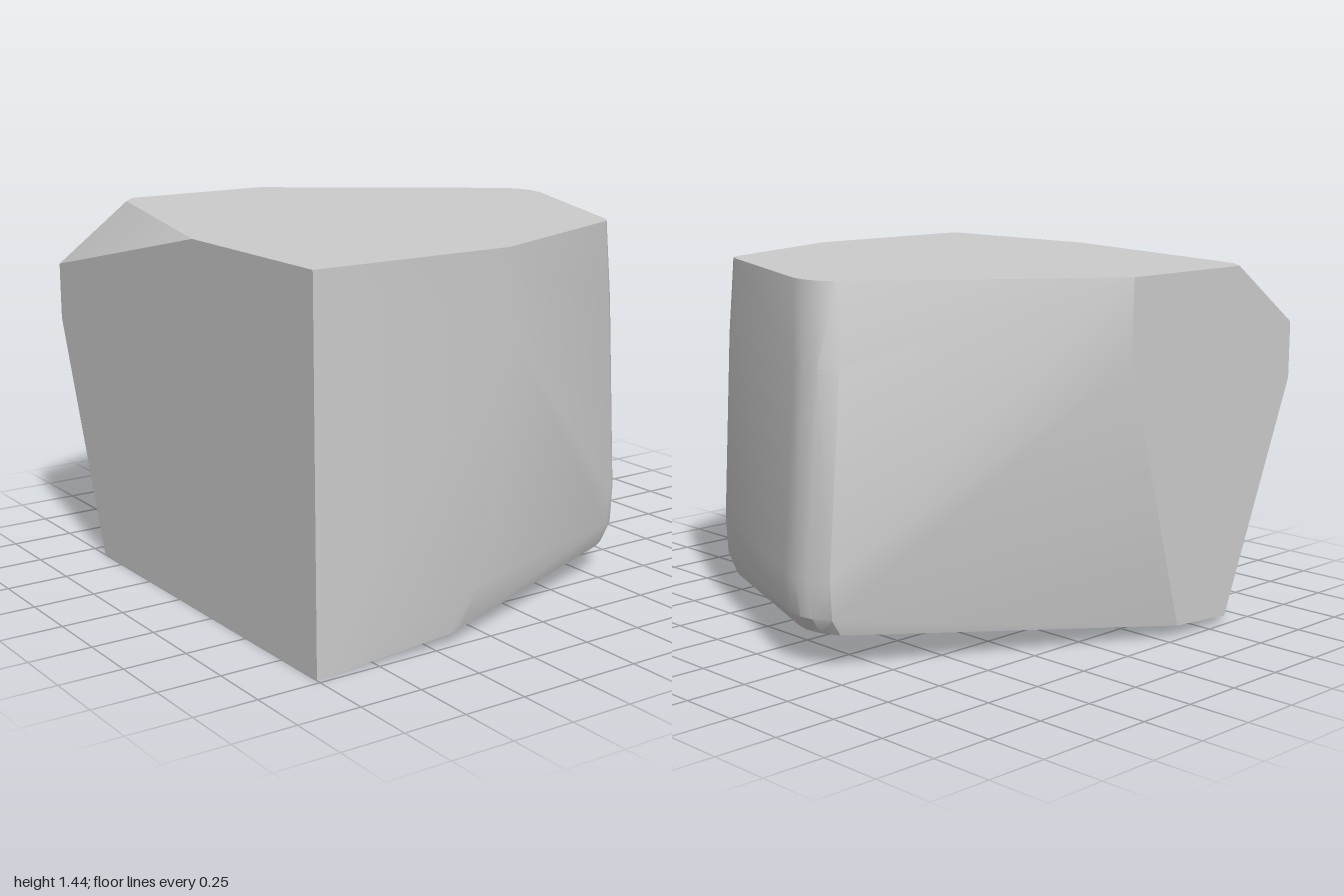
import * as THREE from 'three';
import { ConvexGeometry } from 'three/addons/geometries/ConvexGeometry.js';
import { toCreasedNormals } from 'three/addons/utils/BufferGeometryUtils.js';

// Outline rings of the rock, each a list of [x, z] at one height.
const rings = [
  // flat top
  { y: 1.44, outline: [[-1, 0.98], [-0.17, 0.98], [0.53, 0.7], [0.56, 0.675], [0.585, 0.63], [0.89, -0.12], [0.905, -0.2], [0.895, -0.27], [0.86, -0.33], [-0.02, -0.98], [-0.65, -0.98], [-0.72, -0.9], [-1, 0.17]] },
  // shoulder, where the side facets change slope
  { y: 1.13, outline: [[-0.16, 0.98], [0.55, 0.71], [0.585, 0.68], [0.61, 0.63], [0.94, -0.18], [0.955, -0.25], [0.945, -0.32], [0.9, -0.39], [-0.01, -0.98]] },
  // widest part
  { y: 0.35, outline: [[-0.27, 0.98], [0.585, 0.71], [0.62, 0.69], [0.65, 0.63], [0.98, -0.15], [1, -0.24], [0.99, -0.3], [0.95, -0.38], [-0.25, -0.98]] },
  // start of the rounded lower edge
  { y: 0.2, outline: [[-0.3, 0.98], [0.57, 0.71], [0.61, 0.69], [0.64, 0.62], [0.975, -0.17], [0.985, -0.25], [0.975, -0.31], [0.94, -0.38], [-0.29, -0.98]] },
];
// Sloping underside
const underside = [[-1, 0.98], [-0.42, 0.98], [-0.36, 0.965], [0.54, 0.69], [0.59, 0.66], [0.62, 0.6], [0.93, -0.17], [0.95, -0.24], [0.94, -0.31], [0.9, -0.38], [-0.32, -0.98], [-0.62, -0.98], [-1, -0.65]];
const undersideHeight = (x) => 0.072 * (x + 1);

export function createModel() {
  const group = new THREE.Group();
  group.name = 'rock';

  const points = [];
  for (const { y, outline } of rings)
    for (const [x, z] of outline) points.push(new THREE.Vector3(x, y, z));
  for (const [x, z] of underside) points.push(new THREE.Vector3(x, undersideHeight(x), z));
  // Short upright edge left between the two chipped back corners
  for (const y of [0.96, 1.19]) points.push(new THREE.Vector3(-1, y, -0.98));

  const stone = new THREE.Mesh(
    toCreasedNormals(new ConvexGeometry(points), 0.42),
    new THREE.MeshStandardMaterial({ color: 0xcccccc })
  );
  stone.name = 'stoneBlock';
  group.add(stone);
  return group;
}
